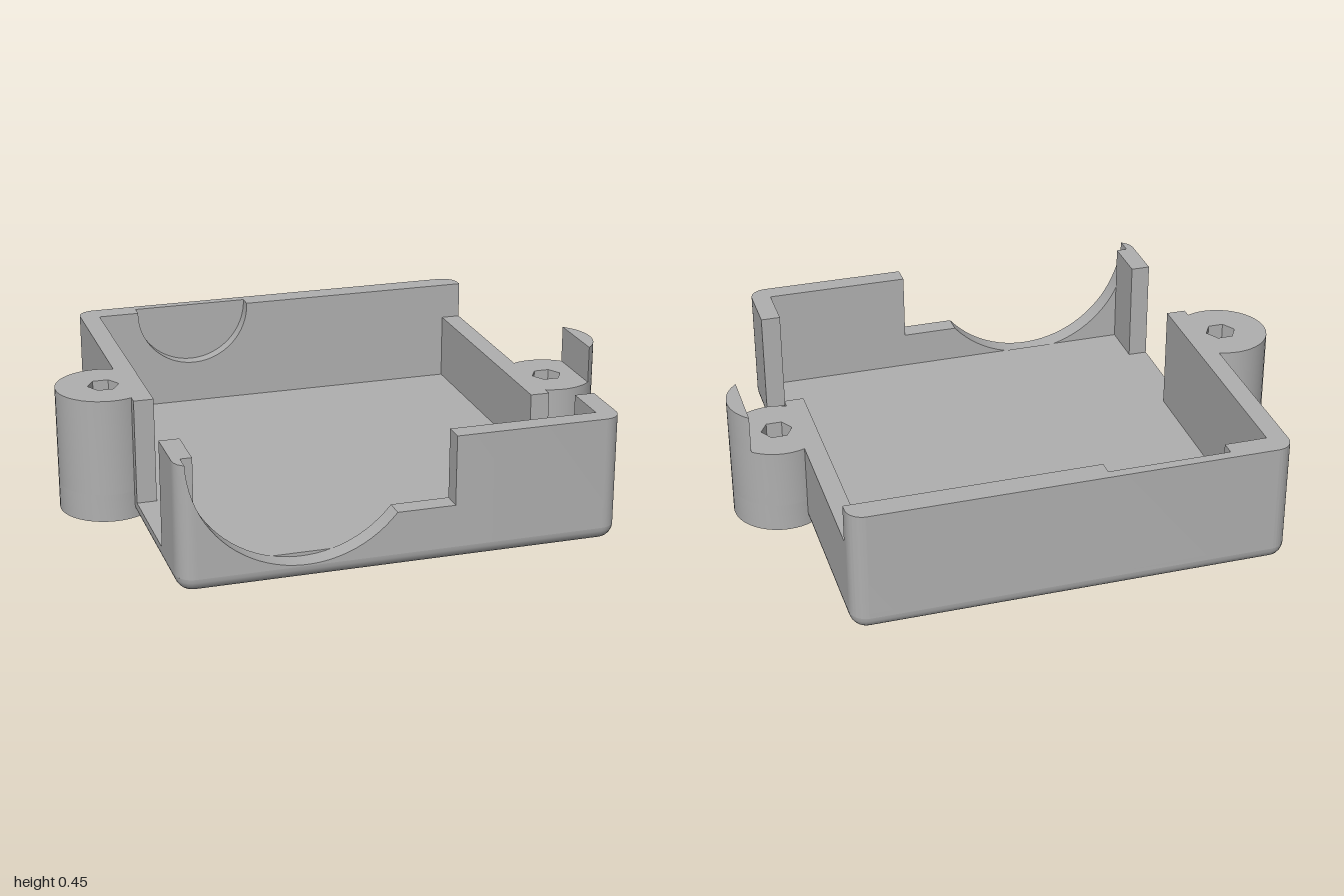
import * as THREE from 'three';
import { toCreasedNormals } from 'three/addons/utils/BufferGeometryUtils.js';

const W = 0.765, D = 0.83, H = 0.445;   // half width, half depth, wall height
const R = 0.06, FLOOR = 0.068, BASE = 0.05;
const IN_X = 0.695, IN_FRONT = 0.76, IN_BACK = -0.745;
const LOW = 0.31;                       // height of the lowered side

// Skin a row of equal-length loops (clockwise seen from the far end) and cap both ends
function loft(loops) {
  const n = loops[0].length, last = (loops.length - 1) * n, index = [];
  for (let s = 0; s < loops.length - 1; s++) {
    for (let i = 0; i < n; i++) {
      const a = s * n + i, b = s * n + (i + 1) % n;
      index.push(a, a + n, b, a + n, b + n, b);
    }
  }
  for (let i = 1; i < n - 1; i++) {
    index.push(0, i, i + 1, last, last + i + 1, last + i);
  }
  const g = new THREE.BufferGeometry();
  g.setAttribute('position', new THREE.Float32BufferAttribute(loops.flat(2), 3));
  g.setIndex(index);
  return toCreasedNormals(g, 0.6);
}

// Extrude a plan outline (x, -z) upwards from y0 to y1
function plan(shape, y0, y1) {
  const g = new THREE.ExtrudeGeometry(shape, { depth: y1 - y0, bevelEnabled: false, curveSegments: 16 });
  g.rotateX(-Math.PI / 2).translate(0, y0, 0);
  return toCreasedNormals(g, 0.6);
}

function block(x0, x1, y0, y1, z0, z1) {
  return new THREE.BoxGeometry(x1 - x0, y1 - y0, z1 - z0)
    .translate((x0 + x1) / 2, (y0 + y1) / 2, (z0 + z1) / 2);
}

// Plan outline with rounded back corners, open for the front edge to be added
function backOutline(zFront) {
  const s = new THREE.Shape();
  s.moveTo(W, -zFront);
  s.lineTo(W, D - R);
  s.absarc(W - R, D - R, R, 0, Math.PI / 2, false);
  s.absarc(-W + R, D - R, R, Math.PI / 2, Math.PI, false);
  s.lineTo(-W, -zFront);
  return s;
}

// Rounded rectangle loop at height y, pulled in by an inset
function baseLoop(y, inset) {
  const loop = [];
  for (let q = 0; q < 4; q++) {
    const sx = q === 0 || q === 3 ? 1 : -1, sz = q < 2 ? 1 : -1;
    for (let i = 0; i <= 6; i++) {
      const a = (q + i / 6) * Math.PI / 2;
      loop.push([sx * (W - R) + (R - inset) * Math.cos(a), y, sz * (D - R) + (R - inset) * Math.sin(a)]);
    }
  }
  return loop;
}

function frontWall() {
  // Top edge as [x, height]: rounded end, large scoop, low step, full wall
  const top = [[-W, H], [-0.762, H], [-0.754, H], [-0.744, H]];
  for (let i = 0; i <= 32; i++) {
    const t = THREE.MathUtils.lerp(Math.PI + 0.025, 5.592, i / 32);
    top.push([-0.335 + 0.4 * Math.cos(t), 0.455 + 0.4 * Math.sin(t)]);
  }
  top.push([0.175, 0.2], [0.176, H]);
  for (let i = 0; i <= 6; i++) top.push([W - R + R * Math.sin(i * Math.PI / 12), H]);
  return loft(top.map(([x, h]) => {
    const d = Math.min(R, Math.max(0, Math.abs(x) - (W - R)));
    const zo = D - R + Math.sqrt(Math.max(0, R * R - d * d));
    return [[x, BASE, IN_FRONT], [x, BASE, zo], [x, h, zo], [x, h, IN_FRONT]];
  }));
}

// Circular outline cut off by a straight chord
function arcShape(r, halfAngle) {
  const s = new THREE.Shape();
  s.absarc(0, 0, r, -halfAngle, halfAngle, false);
  s.closePath();
  return s;
}

export function createModel() {
  const model = new THREE.Group();
  const grey = new THREE.MeshStandardMaterial({ color: 0xb0b0b0 });
  grey.name = 'grey plastic';
  const add = (name, geometry, parent = model) => {
    const m = new THREE.Mesh(geometry, grey);
    m.name = name;
    parent.add(m);
    return m;
  };

  // Rounded underside and floor
  const loops = [];
  for (let i = 0; i <= 6; i++) {
    const a = i * Math.PI / 12;
    loops.push(baseLoop(BASE * (1 - Math.cos(a)), BASE * (1 - Math.sin(a))));
  }
  add('roundedBase', loft(loops));
  add('floor', plan(backOutline(IN_FRONT), BASE, FLOOR));

  // Front wall and the short returns at its ends
  add('frontWall', frontWall());
  add('leftFrontReturn', block(IN_X, W, FLOOR, H, 0.585, IN_FRONT));
  add('rightFrontReturn', block(-W, -IN_X, FLOOR, H, 0.585, IN_FRONT));

  // Side walls, one of them lowered
  add('leftWall', block(IN_X, W, FLOOR, LOW, IN_BACK, 0.2));
  add('rightWall', block(-W, -IN_X, FLOOR, H, IN_BACK, 0.2));

  // Back wall: outer skin with corners, then an inner layer with a half-round pocket
  const skin = backOutline(IN_BACK);
  skin.lineTo(-IN_X, -IN_BACK);
  skin.lineTo(-IN_X, 0.795);
  skin.lineTo(IN_X, 0.795);
  skin.lineTo(IN_X, -IN_BACK);
  add('backWall', plan(skin, FLOOR, H));
  const inner = new THREE.Shape();
  inner.moveTo(-IN_X, FLOOR);
  inner.lineTo(IN_X, FLOOR);
  inner.lineTo(IN_X, H);
  inner.lineTo(-0.115, H);
  inner.absarc(-0.33, 0.44, 0.215, 0, -Math.PI, true);
  inner.lineTo(-0.545, H);
  inner.lineTo(-IN_X, H);
  const layer = new THREE.ExtrudeGeometry(inner, { depth: 0.05, bevelEnabled: false, curveSegments: 24 });
  add('backWallPocket', toCreasedNormals(layer.translate(0, 0, -0.795), 0.6));

  // Screw lugs with hexagonal holes
  for (const side of [1, -1]) {
    const lug = new THREE.Group();
    lug.name = side > 0 ? 'leftLug' : 'rightLug';
    lug.position.set(side * 0.832, 0, 0.01);
    lug.rotation.y = side > 0 ? 0 : Math.PI;
    const outline = arcShape(0.168, 2.45);
    add('lugFoot', plan(outline, 0, 0.1), lug);
    const holed = arcShape(0.168, 2.45);
    const hex = [];
    for (let i = 0; i < 6; i++) {
      hex.push(new THREE.Vector2(0.055 * Math.cos(i * Math.PI / 3), 0.055 * Math.sin(i * Math.PI / 3)));
    }
    holed.holes.push(new THREE.Path(hex));
    add('lugBody', plan(holed, 0.1, side > 0 ? LOW : H), lug);
    // Upright sliver on the lowered lug
    if (side > 0) add('lugFin', plan(arcShape(0.168, 0.83), LOW, H), lug);
    model.add(lug);
  }
  return model;
}
